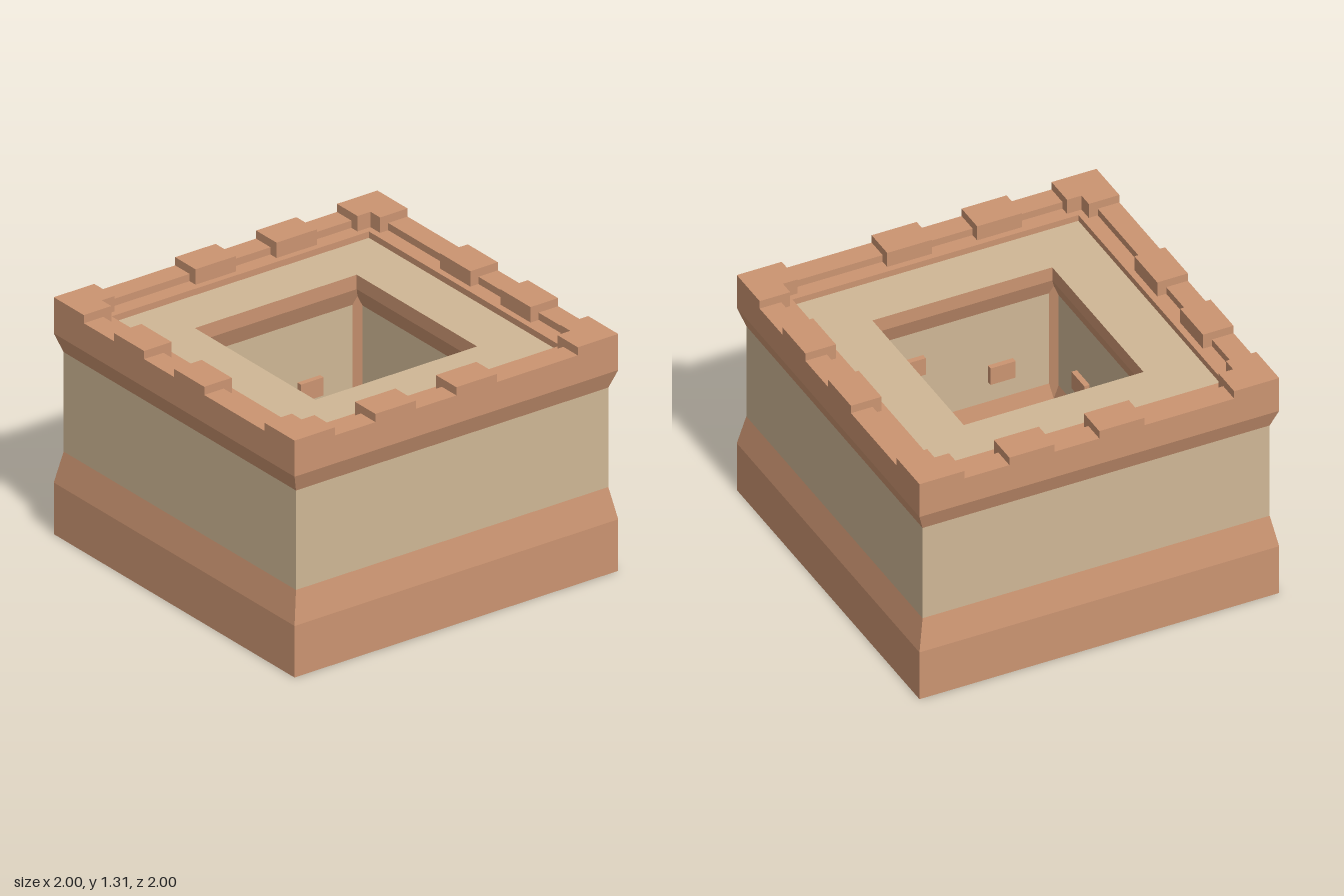
import * as THREE from 'three';

const clay = new THREE.MeshStandardMaterial({ color: 0xcb9471 });
clay.name = 'clay trim';
const sand = new THREE.MeshStandardMaterial({ color: 0xcfb795 });
sand.name = 'sand plaster';

export function createModel() {
  const model = new THREE.Group();
  model.name = 'towerSection';

  const add = (name, geometry, material, parent = model) => {
    const mesh = new THREE.Mesh(geometry, material);
    mesh.name = name;
    parent.add(mesh);
    return mesh;
  };

  // Square ring swept from [half width, height] pairs, with flat faces
  const squareRing = (name, profile, material) => {
    const points = profile.map(([r, y]) => new THREE.Vector2(r * Math.SQRT2, y));
    const geometry = new THREE.LatheGeometry(points, 4, Math.PI / 4).toNonIndexed();
    geometry.computeVertexNormals();
    return add(name, geometry, material);
  };

  // Upright prism from a plan outline given as [x, -z]
  const prism = (outline, bottom, top) => {
    const shape = new THREE.Shape(outline.map(([x, y]) => new THREE.Vector2(x, y)));
    return new THREE.ExtrudeGeometry(shape, { depth: top - bottom, bevelEnabled: false })
      .rotateX(-Math.PI / 2).translate(0, bottom, 0);
  };

  // Hollow body: outside upwards, across the roof, down the shaft
  squareRing('base', [[0.5, 0], [1, 0], [1, 0.285], [0.965, 0.46]], clay);
  squareRing('outerWall', [[0.965, 0.46], [0.965, 1.01]], sand);
  squareRing('corniceAndParapet', [[0.965, 1.01], [1, 1.11], [1, 1.265], [0.88, 1.265],
    [0.88, 1.225], [0.795, 1.225], [0.795, 1.19]], clay);
  squareRing('roofFloor', [[0.795, 1.19], [0.5, 1.19]], sand);
  squareRing('shaftCornice', [[0.5, 1.19], [0.5, 1.11], [0.535, 1.01]], clay);
  squareRing('shaftWall', [[0.535, 1.01], [0.535, 0.46]], sand);
  squareRing('shaftBase', [[0.535, 0.46], [0.5, 0.285], [0.5, 0]], clay);

  // L-shaped corner merlons and the chamfer posts in the shaft corners
  const cornerMerlon = prism([[0.75, 0.83], [0.83, 0.83], [0.83, 0.75], [1, 0.75], [1, 1], [0.75, 1]], 1.225, 1.31);
  const cornerPost = prism([[0.5, 0.535], [0.535, 0.5], [0.535, 0.535]], 0.285, 1.11);
  for (let i = 0; i < 4; i++) {
    add('cornerMerlon', cornerMerlon, clay).rotation.y = i * Math.PI / 2;
    add('cornerPost', cornerPost, clay).rotation.y = i * Math.PI / 2;
  }

  // Merlons and protruding shaft bricks, alike on opposite sides
  const merlon = new THREE.BoxGeometry(0.25, 0.085, 0.17);
  const brick = new THREE.BoxGeometry(0.14, 0.1, 0.06);
  const sides = [
    { merlons: [-0.375, 0.125], upper: 0.27 },
    { merlons: [-0.375, 0.125], upper: -0.27 },
  ];
  for (let i = 0; i < 4; i++) {
    const side = new THREE.Group();
    side.name = 'sideDetails';
    side.rotation.y = i * Math.PI / 2;
    model.add(side);
    const { merlons, upper } = sides[i % 2];
    for (const x of merlons) add('merlon', merlon, clay, side).position.set(x, 1.2675, 0.915);
    add('upperBrick', brick, clay, side).position.set(upper, 0.81, 0.535);
    add('lowerBrick', brick, clay, side).position.set(-upper * 0.85, 0.63, 0.535);
  }
  return model;
}
